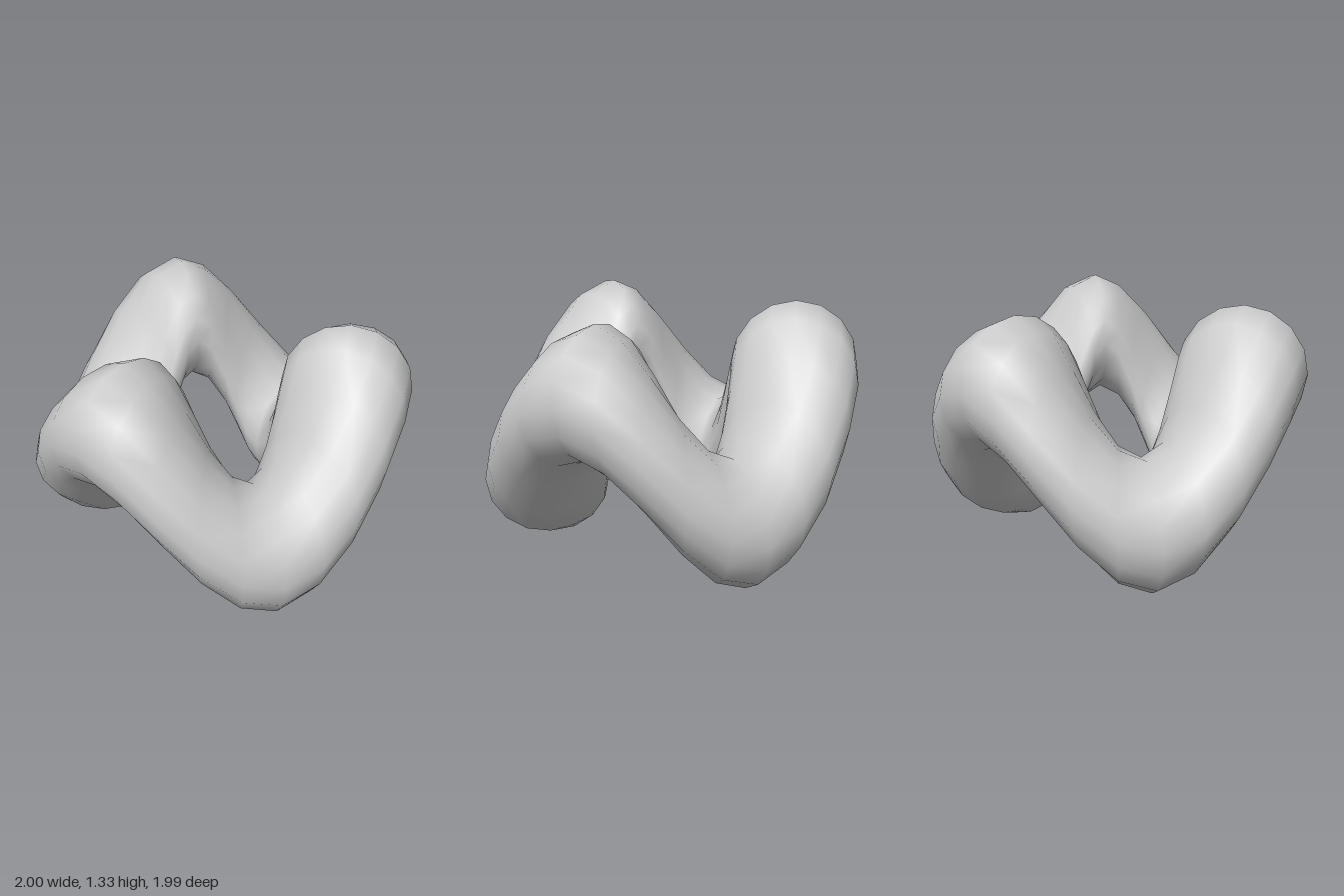
import * as THREE from 'three';
import { mergeVertices } from 'three/addons/utils/BufferGeometryUtils.js';

const RING = 2 / 3;   // ring radius
const TUBE = 1 / 3;   // tube radius
const WAVE = 1 / 3;   // height of the wave
const WAVES = 3;      // crests around the ring

export function createModel() {
  const group = new THREE.Group();
  group.name = 'wavyTorus';

  // Flat ring lying in the ground plane
  let geometry = new THREE.TorusGeometry(RING, TUBE, 16, 30);
  geometry.rotateX(-Math.PI / 2);

  // Slide each upright cross-section up and down around the ring
  const pos = geometry.attributes.position;
  for (let i = 0; i < pos.count; i++) {
    const angle = Math.atan2(pos.getZ(i), pos.getX(i));
    pos.setY(i, pos.getY(i) + TUBE + WAVE - WAVE * Math.cos(WAVES * angle));
  }

  // Weld the seams so the shading is smooth all round
  geometry.deleteAttribute('normal');
  geometry.deleteAttribute('uv');
  geometry = mergeVertices(geometry, 1e-4);
  geometry.computeVertexNormals();

  const ring = new THREE.Mesh(geometry, new THREE.MeshStandardMaterial({ color: 0xcccccc }));
  ring.name = 'wavyRing';
  group.add(ring);
  return group;
}
